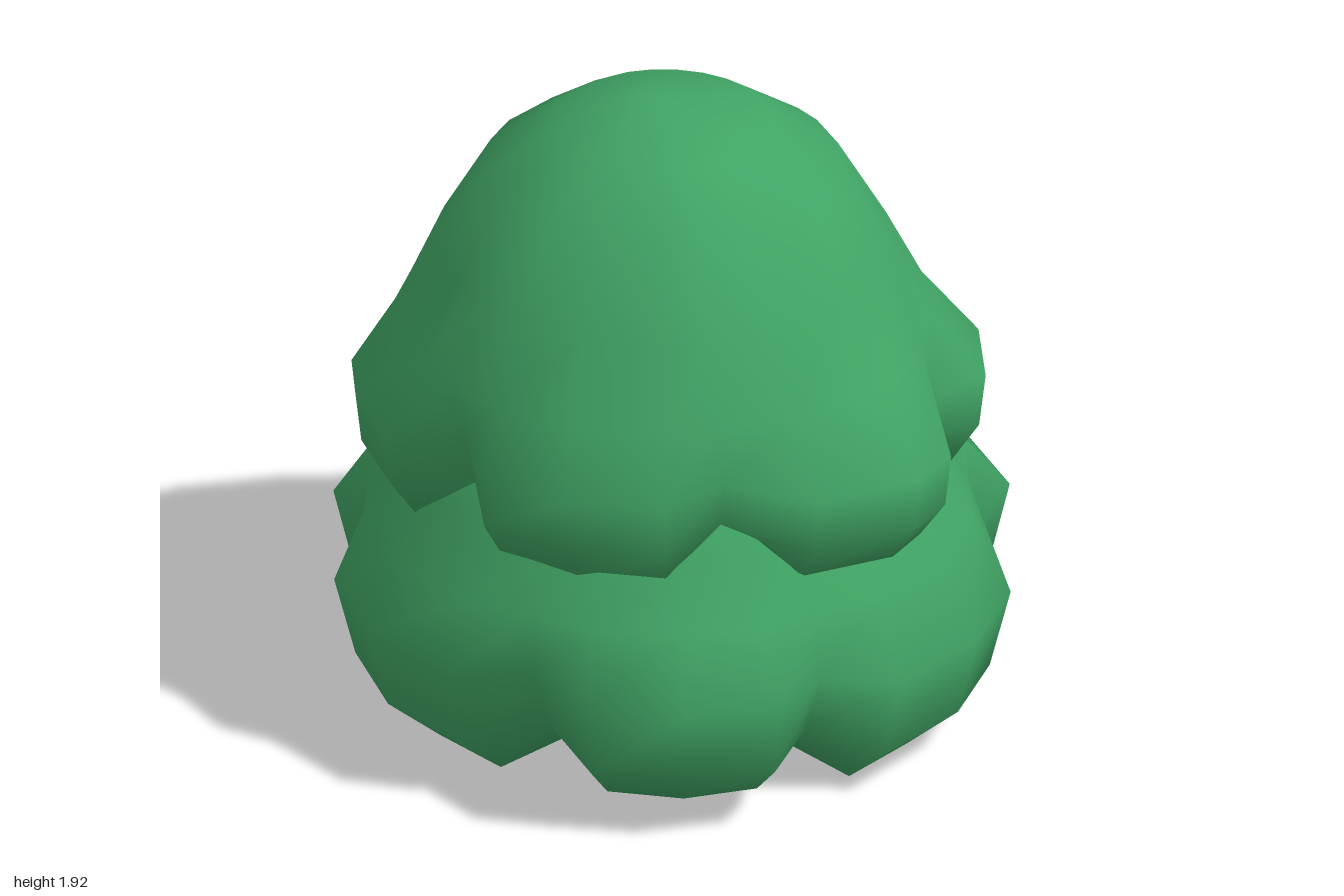
import * as THREE from 'three';

const leafGreen = new THREE.MeshStandardMaterial({ color: 0x40a464 });

// Rim plans as [x, z]; every fourth point is the notch between two lobes.
const lowerRim = [
  [0.87, -0.07], [0.95, 0.14], [0.85, 0.43], [0.64, 0.7],
  [0.42, 0.77], [0.3, 0.94], [0.03, 1], [-0.25, 0.96],
  [-0.41, 0.77], [-0.64, 0.72], [-0.86, 0.45], [-0.96, 0.13],
  [-0.89, -0.1], [-0.96, -0.29], [-0.86, -0.53], [-0.71, -0.73],
  [-0.48, -0.76], [-0.37, -0.94], [-0.08, -1], [0.24, -0.99],
  [0.38, -0.83], [0.64, -0.83], [0.83, -0.62], [0.95, -0.32],
];
const upperRim = [
  [0.74, 0.22], [0.78, 0.49], [0.69, 0.63], [0.41, 0.77],
  [0.14, 0.73], [-0.03, 0.85], [-0.31, 0.8], [-0.55, 0.66],
  [-0.6, 0.46], [-0.82, 0.37], [-0.9, 0.1], [-0.91, -0.08],
  [-0.75, -0.25], [-0.75, -0.47], [-0.54, -0.7], [-0.28, -0.83],
  [-0.08, -0.77], [0.11, -0.89], [0.33, -0.83], [0.52, -0.73],
  [0.57, -0.51], [0.75, -0.46], [0.86, -0.22], [0.88, 0.06],
];

// Rings from top to bottom: y, circle radius, rim scale, blend from circle to
// rim, rise and inset at the notches, share of each lobe's own height offset.
const lowerRings = [
  [1.1, 0.6, 0, 0, 0, 0, 0],
  [0.8, 0.77, 0.8, 0.15, 0, 0, 0],
  [0.62, 0.87, 0.9, 0.3, 0, 0, 0.3],
  [0.43, 0, 1, 1, 0.03, 0.02, 1],
  [0.19, 0, 0.94, 1, 0.07, 0.06, 1],
  [0.05, 0, 0.77, 1, 0.1, 0.06, 1],
  [0.09, 0, 0.61, 1, 0.1, 0, 0.8],
  [0.3, 0.46, 0.5, 0.4, 0, 0, 0.3],
  [0.46, 0.25, 0, 0, 0, 0, 0],
];
const upperRings = [
  [1.81, 0.31, 0, 0, 0, 0, 0],
  [1.67, 0.51, 0, 0, 0, 0, 0],
  [1.43, 0.65, 0, 0, 0, 0, 0],
  [1.21, 0.76, 0.85, 0.1, 0, 0, 0],
  [1.03, 0, 1, 1, 0.02, 0.02, 1],
  [0.87, 0, 0.98, 1, 0.05, 0.04, 1],
  [0.75, 0, 0.89, 1, 0.1, 0.04, 1],
  [0.74, 0, 0.77, 1, 0.1, 0, 1],
  [0.85, 0.5, 0.55, 0.5, 0, 0, 0],
];

// Lofts one scalloped tier and closes it with a point above and below.
function tier(name, rim, rings, lobeOffsets, top, bottom, centreX, centreZ) {
  const n = rim.length, positions = [...top], index = [];
  for (const [y, radius, scale, blend, rise, inset, share] of rings) {
    rim.forEach(([x, z], j) => {
      const length = Math.hypot(x, z);
      const notch = j % 4 === 0 ? 1 : j % 4 === 2 ? 0 : 0.06;
      const lobe = Math.floor(j / 4);
      const previous = lobeOffsets[(lobe + 5) % 6];
      const offset = j % 4 ? lobeOffsets[lobe] : (lobeOffsets[lobe] + previous) / 2;
      const size = scale * (1 - inset * notch);
      positions.push(
        THREE.MathUtils.lerp(centreX + (radius * x) / length, size * x, blend),
        y + rise * notch + share * offset,
        THREE.MathUtils.lerp(centreZ + (radius * z) / length, size * z, blend),
      );
    });
  }
  const last = positions.length / 3;
  positions.push(...bottom);
  for (let j = 0; j < n; j++) {
    const k = (j + 1) % n;
    index.push(0, 1 + k, 1 + j);
    for (let i = 0; i < rings.length - 1; i++) {
      const a = 1 + i * n, b = a + n;
      index.push(a + j, a + k, b + k, a + j, b + k, b + j);
    }
    index.push(last, last - n + j, last - n + k);
  }
  const geometry = new THREE.BufferGeometry();
  geometry.setAttribute('position', new THREE.Float32BufferAttribute(positions, 3));
  geometry.setIndex(index);
  geometry.computeVertexNormals();
  const mesh = new THREE.Mesh(geometry, leafGreen);
  mesh.name = name;
  return mesh;
}

export function createModel() {
  const group = new THREE.Group();
  group.name = 'roundBush';
  group.add(
    tier('lowerFoliage', lowerRim, lowerRings, [-0.05, 0.01, -0.01, 0.05, 0.05, 0.05],
      [0, 1.15, 0], [0, 0.5, 0], -0.02, -0.035),
    tier('upperFoliage', upperRim, upperRings, [-0.03, -0.01, -0.02, 0, 0.02, 0],
      [-0.07, 1.92, 0.03], [0, 0.92, 0], -0.03, -0.01),
  );
  return group;
}
